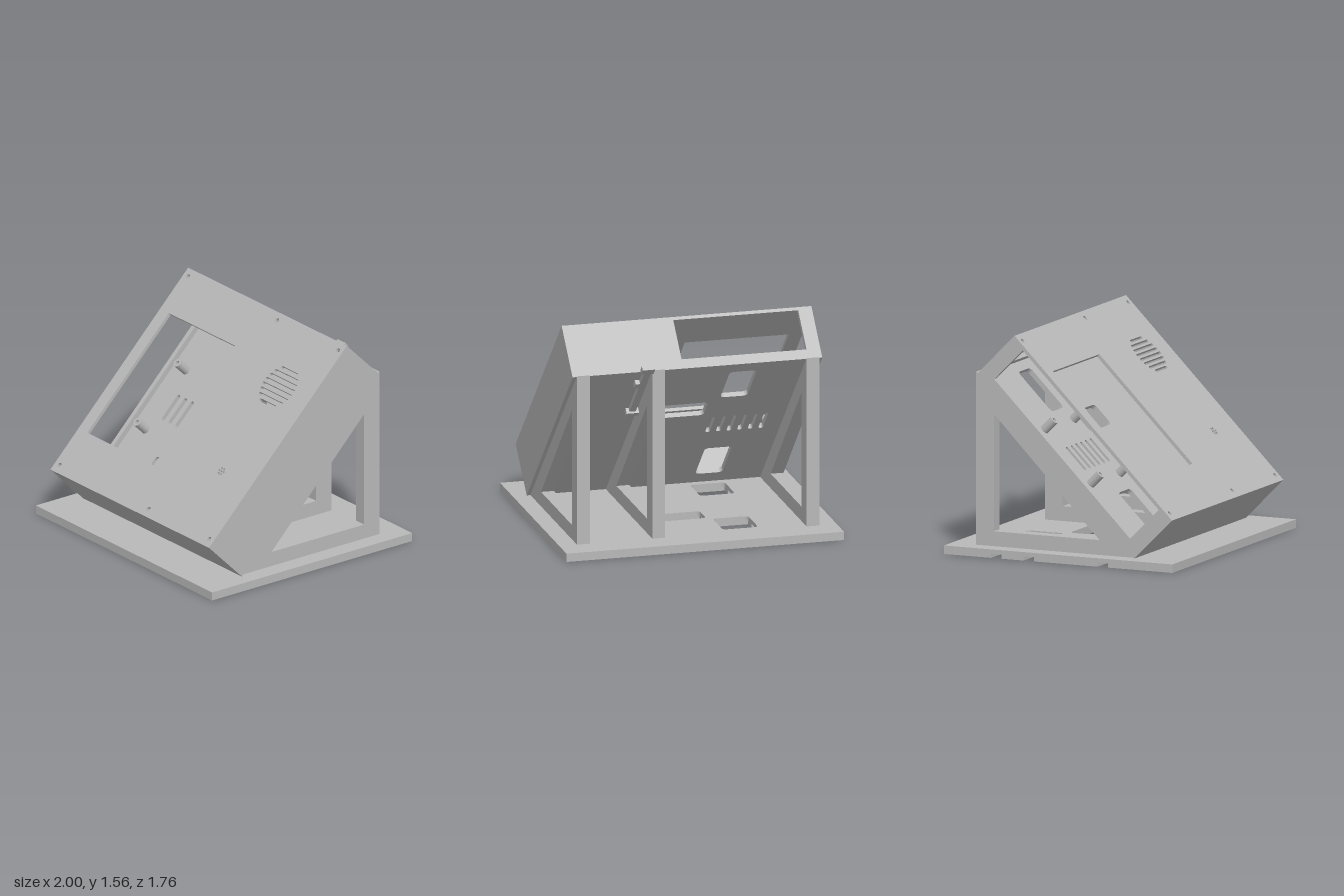
import * as THREE from 'three';

const grey = new THREE.MeshStandardMaterial({ color: 0xb8b8b8 });
grey.name = 'greyPlastic';

// Rectangle from x0,y0 to x1,y1 with corner radius r
function roundRect(x0, y0, x1, y1, r = 0, Type = THREE.Path) {
  const p = new Type();
  p.moveTo(x0 + r, y0);
  p.lineTo(x1 - r, y0);
  if (r) p.absarc(x1 - r, y0 + r, r, -Math.PI / 2, 0, false);
  p.lineTo(x1, y1 - r);
  if (r) p.absarc(x1 - r, y1 - r, r, 0, Math.PI / 2, false);
  p.lineTo(x0 + r, y1);
  if (r) p.absarc(x0 + r, y1 - r, r, Math.PI / 2, Math.PI, false);
  p.lineTo(x0, y0 + r);
  if (r) p.absarc(x0 + r, y0 + r, r, Math.PI, Math.PI * 1.5, false);
  return p;
}

function circle(x, y, r, Type = THREE.Path) {
  return new Type().absarc(x, y, r, 0, Math.PI * 2, false);
}

function poly(points, Type = THREE.Shape) {
  return new Type(points.map(([x, y]) => new THREE.Vector2(x, y)));
}

function extrude(shape, depth) {
  return new THREE.ExtrudeGeometry(shape, { depth, bevelEnabled: false, curveSegments: 10 });
}

function add(parent, name, geometry, x = 0, y = 0, z = 0) {
  const m = new THREE.Mesh(geometry, grey);
  m.name = name;
  m.position.set(x, y, z);
  parent.add(m);
  return m;
}

// Box given by its two opposite corners
function block(parent, name, x0, x1, y0, y1, z0, z1) {
  return add(parent, name, new THREE.BoxGeometry(x1 - x0, y1 - y0, z1 - z0),
    (x0 + x1) / 2, (y0 + y1) / 2, (z0 + z1) / 2);
}

// Base plate: pierced top layer, lower layers with cable channels and foot recesses
function makeBase() {
  const base = new THREE.Group();
  base.name = 'base';
  const D = 0.88;
  const holes = [[-0.455, -0.61, -0.2, -0.34], [-0.16, -0.31, 0.22, -0.14], [-0.51, 0.21, -0.26, 0.48]];

  const top = roundRect(-1, -D, 1, D, 0, THREE.Shape);
  for (const [x0, z0, x1, z1] of holes) top.holes.push(roundRect(x0, z0, x1, z1, 0.03));

  // Outline that runs in along each channel and around its hole
  const channelled = () => {
    const pts = [[1, D], [1, -D], [-1, -D]];
    for (const [x0, z0, x1, z1] of holes) {
      const c = (z0 + z1) / 2, h = 0.04;
      pts.push([-1, c - h], [x0, c - h], [x0, z0], [x1, z0], [x1, z1], [x0, z1], [x0, c + h], [-1, c + h]);
    }
    pts.push([-1, D]);
    return poly(pts);
  };
  const bottom = channelled();
  for (const x of [-0.87, 0.87]) for (const z of [-0.74, 0.74]) bottom.holes.push(circle(x, z, 0.06));

  add(base, 'basePlateTop', extrude(top, 0.03).rotateX(Math.PI / 2), 0, 0.06);
  add(base, 'cableChannelLayer', extrude(channelled(), 0.02).rotateX(Math.PI / 2), 0, 0.03);
  add(base, 'footRecessLayer', extrude(bottom, 0.01).rotateX(Math.PI / 2), 0, 0.01);
  return base;
}

// Triangular support frames
function makeSupports() {
  const supports = new THREE.Group();
  supports.name = 'supports';
  const frame = poly([[-0.54, 0.06], [0.69, 0.06], [0.69, 1.283]]);
  frame.holes.push(poly([[-0.26, 0.165], [0.555, 0.165], [0.555, 0.995]], THREE.Path));
  for (const x of [-0.875, 0.237, 0.78]) {
    add(supports, 'supportFrame', extrude(frame, 0.093).rotateY(Math.PI / 2), x);
  }
  return supports;
}

// Sloping case; inside the group y runs up the slope and z points out of its face
function makeCase() {
  const box = new THREE.Group();
  box.name = 'case';
  box.position.set(0, 0.06, 0.54);
  box.rotation.x = -Math.PI / 4;
  const W = 0.9, L = 1.715, H = 0.41, t = 0.035, face = 0.385, lip = 0.074;

  // Back panel with cable openings and vents
  const back = roundRect(-W, 0, W, L, 0, THREE.Shape);
  back.holes.push(
    roundRect(-0.45, 1.238, -0.255, 1.605, 0.03),
    roundRect(-0.485, 0.12, -0.29, 0.492, 0.03),
    roundRect(-0.18, 0.997, 0.155, 1.18, 0.03));
  for (let i = 0; i < 6; i++) {
    const x = -0.642 + i * 0.0765;
    back.holes.push(roundRect(x - 0.0165, 0.735, x + 0.0165, 0.95, 0.016));
  }
  add(box, 'backPanel', extrude(back, t));

  // Front panel with display opening, screw holes, speaker slots and microphone holes
  const front = roundRect(-W, 0, W, L, 0, THREE.Shape);
  front.holes.push(roundRect(-0.8, 0.35, -0.05, 1.365));
  for (const x of [-0.85, 0.16, 0.85]) for (const y of [0.057, 1.658]) front.holes.push(circle(x, y, 0.017));
  for (let i = 0; i < 8; i++) {
    const off = (i - 3.5) * 0.039, half = Math.sqrt(0.165 ** 2 - off ** 2);
    front.holes.push(roundRect(0.56 - half, 1.238 + off - 0.011, 0.56 + half, 1.238 + off + 0.011, 0.0105));
  }
  front.holes.push(circle(0.56, 0.523, 0.01));
  for (let i = 0; i < 6; i++) {
    const a = i * Math.PI / 3;
    front.holes.push(circle(0.56 + 0.024 * Math.cos(a), 0.523 + 0.024 * Math.sin(a), 0.01));
  }
  add(box, 'frontPanel', extrude(front, H - face), 0, 0, face);

  // Solid walls
  block(box, 'bottomWall', -W, W, 0, t, t, face);
  block(box, 'leftWall', W - t, W, t, L - t, t, face);
  // Top wall with a wide opening
  block(box, 'topWall', 0.1, W, L - t, L, t, face);
  block(box, 'topWallCorner', -W, -0.8, L - t, L, t, face);
  block(box, 'topWallLip', -0.8, 0.1, L - t, L, t, lip);
  // Right wall with a long opening
  block(box, 'rightWallLower', -W, -W + t, t, 0.12, t, face);
  block(box, 'rightWallUpper', -W, -W + t, 1.6, L - t, t, face);
  block(box, 'rightWallLip', -W, -W + t, 0.12, 1.6, t, lip);

  // Board standoffs
  const ring = circle(0, 0, 0.032, THREE.Shape);
  ring.holes.push(circle(0, 0, 0.015));
  for (const x of [-0.73, -0.265]) for (const y of [0.626, 1.128]) {
    add(box, 'standoff', extrude(ring, 0.11), x, y, t);
  }

  // Sliding latch under the case
  block(box, 'latchBar', 0.352, 0.398, 1.2, 1.75, -0.035, -0.005);
  block(box, 'latchUpperHead', 0.33, 0.42, 1.75, 1.81, -0.04, -0.005);
  block(box, 'latchLowerHead', 0.33, 0.42, 1.16, 1.2, -0.05, -0.005);
  block(box, 'latchGuide', 0.398, 0.43, 1.54, 1.6, -0.035, 0);
  return box;
}

export function createModel() {
  const model = new THREE.Group();
  model.name = 'deskConsole';
  model.add(makeBase(), makeSupports(), makeCase());
  return model;
}
